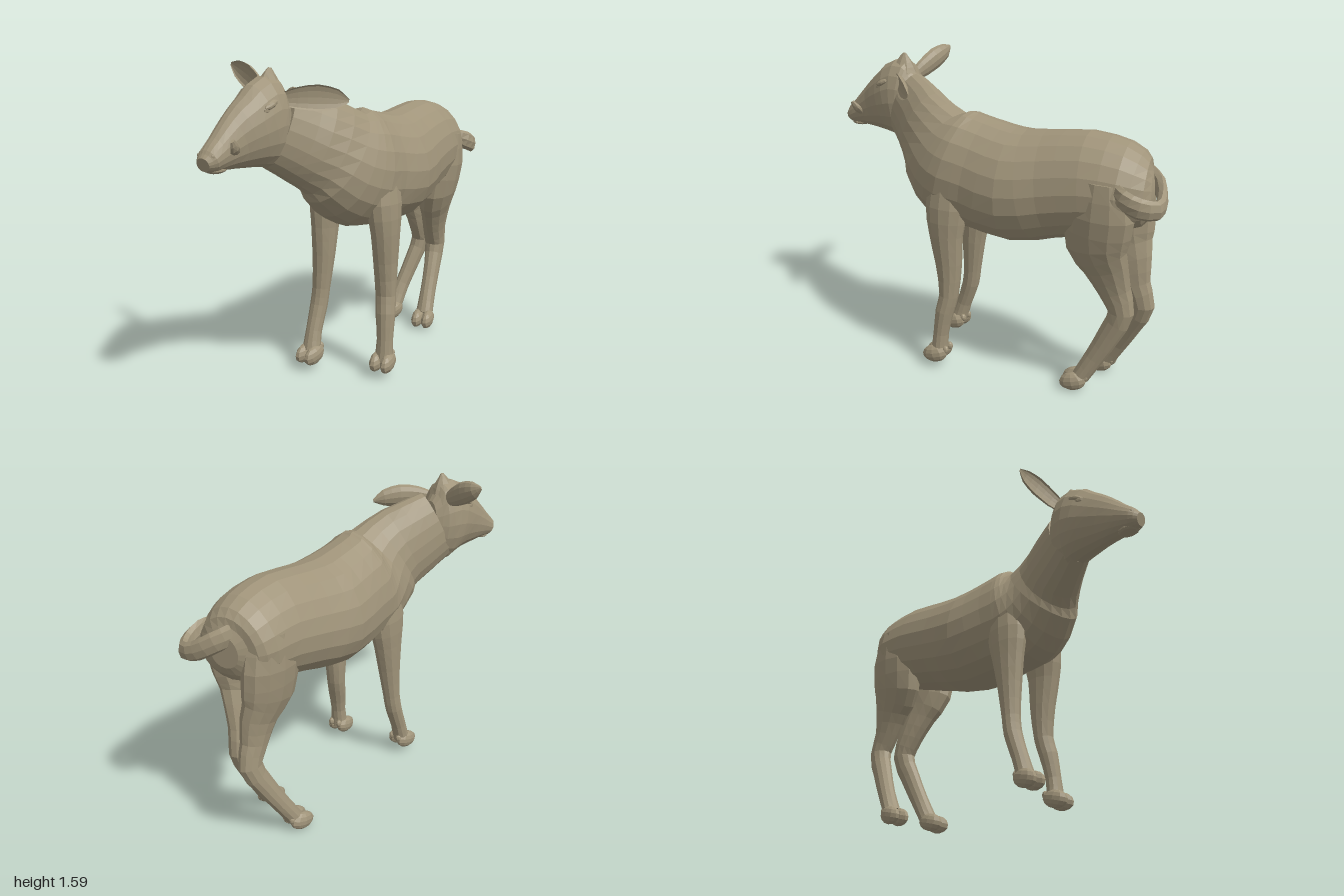
import * as THREE from 'three';

const Y = new THREE.Vector3(0, 1, 0);
const Z = new THREE.Vector3(0, 0, 1);
const hide = new THREE.MeshStandardMaterial({ color: 0xa0947a, flatShading: true, side: THREE.DoubleSide });

// Skin through sections [x, y, z, halfWidth, halfHeight]; ref sets which way the height points.
// egg narrows the upper side, cup hollows one side of the ring (+1 or -1).
function loft(sections, { ref = Y, sides = 16, sub = 2, egg = 0, cup = 0 } = {}) {
  const path = new THREE.CatmullRomCurve3(sections.map(s => new THREE.Vector3(s[0], s[1], s[2])));
  const size = new THREE.CatmullRomCurve3(sections.map(s => new THREE.Vector3(s[3], s[4], 0)));
  const rings = (sections.length - 1) * sub;
  const pos = [], index = [];
  for (let i = 0; i <= rings; i++) {
    const u = i / rings;
    const c = path.getPoint(u), r = size.getPoint(u), t = path.getTangent(u);
    const side = new THREE.Vector3().crossVectors(ref, t).normalize();
    const up = new THREE.Vector3().crossVectors(t, side);
    for (let j = 0; j < sides; j++) {
      const a = (j / sides) * Math.PI * 2;
      let w = Math.cos(a) * (1 - egg * Math.sin(a));
      const h = Math.sin(a);
      if (w * cup > 0) w *= -0.4;
      const p = c.clone().addScaledVector(side, w * r.x).addScaledVector(up, h * r.y);
      pos.push(p.x, p.y, p.z);
      if (i < rings) {
        const k = (j + 1) % sides, a0 = i * sides + j, b0 = i * sides + k;
        index.push(a0, b0, a0 + sides, b0, b0 + sides, a0 + sides);
      }
    }
  }
  // end caps
  const first = sections[0], last = sections[sections.length - 1];
  const n = pos.length / 3;
  pos.push(first[0], first[1], first[2], last[0], last[1], last[2]);
  for (let j = 0; j < sides; j++) {
    const k = (j + 1) % sides, e = rings * sides;
    index.push(n, k, j, n + 1, e + j, e + k);
  }
  const g = new THREE.BufferGeometry();
  g.setAttribute('position', new THREE.Float32BufferAttribute(pos, 3));
  g.setIndex(index);
  g.computeVertexNormals();
  return g;
}

export function createModel() {
  const model = new THREE.Group();
  const add = (name, geometry, parent = model) => {
    const mesh = new THREE.Mesh(geometry, hide);
    mesh.name = name;
    parent.add(mesh);
    return mesh;
  };
  const blob = (name, p, s, parent = model, rot = [0, 0, 0]) => {
    const mesh = add(name, new THREE.SphereGeometry(1, 10, 7), parent);
    mesh.position.set(...p);
    mesh.scale.set(...s);
    mesh.rotation.set(...rot);
    return mesh;
  };

  // trunk, running from the rump through the chest into the turned neck
  add('bodyAndNeck', loft([
    [0.06, 1.08, -0.895, 0.07, 0.08],
    [0.07, 1.08, -0.86, 0.16, 0.16],
    [0.08, 1.09, -0.76, 0.21, 0.22],
    [0.09, 1.09, -0.6, 0.225, 0.252],
    [0.093, 1.055, -0.4, 0.24, 0.265],
    [0.1, 1.025, -0.2, 0.265, 0.285],
    [0.1, 1.05, 0, 0.24, 0.29],
    [0.105, 1.07, 0.12, 0.235, 0.3],
    [0.095, 1.105, 0.21, 0.205, 0.285],
    [0.065, 1.18, 0.31, 0.16, 0.24],
    [0.0, 1.25, 0.43, 0.13, 0.22],
    [-0.055, 1.305, 0.54, 0.11, 0.2],
  ], { sides: 20, egg: 0.1 }));

  // head
  const head = new THREE.Group();
  head.name = 'head';
  model.add(head);
  add('skull', loft([
    [-0.06, 1.33, 0.48, 0.06, 0.12],
    [-0.07, 1.325, 0.53, 0.105, 0.2],
    [-0.08, 1.325, 0.6, 0.122, 0.222],
    [-0.09, 1.3, 0.7, 0.11, 0.175],
    [-0.105, 1.265, 0.8, 0.084, 0.13],
    [-0.115, 1.225, 0.9, 0.068, 0.08],
    [-0.12, 1.2, 0.96, 0.06, 0.056],
    [-0.12, 1.19, 0.995, 0.035, 0.032],
  ], { sides: 18 }), head);
  for (const s of [-1, 1]) {
    blob('eye', [-0.088 + s * 0.087, 1.4, 0.69], [0.016, 0.022, 0.032], head);
    blob('brow', [-0.084 + s * 0.085, 1.425, 0.67], [0.025, 0.018, 0.05], head, [0.4, 0, 0]);
    blob('nostril', [-0.12 + s * 0.035, 1.225, 0.965], [0.017, 0.016, 0.018], head);
  }
  blob('lowerLip', [-0.115, 1.16, 0.92], [0.045, 0.018, 0.055], head);
  add('lipFlap', loft([
    [-0.06, 1.22, 0.85, 0.012, 0.02],
    [-0.035, 1.25, 0.88, 0.014, 0.028],
    [-0.025, 1.29, 0.91, 0.007, 0.012],
  ], { ref: Z, sides: 8 }), head);
  add('crest', loft([
    [-0.075, 1.48, 0.58, 0.07, 0.07],
    [-0.072, 1.535, 0.58, 0.035, 0.045],
    [-0.07, 1.58, 0.575, 0.007, 0.01],
  ], { ref: Z, sides: 8 }), head);

  // ears: one pricked up to the side, one swept back
  add('rightEar', loft([
    [-0.12, 1.45, 0.56, 0.025, 0.03],
    [-0.18, 1.485, 0.535, 0.032, 0.05],
    [-0.26, 1.53, 0.51, 0.04, 0.058],
    [-0.33, 1.562, 0.49, 0.03, 0.042],
    [-0.372, 1.583, 0.48, 0.005, 0.008],
  ], { sides: 12, cup: 1 }), head);
  add('leftEar', loft([
    [0.0, 1.44, 0.58, 0.025, 0.03],
    [0.06, 1.445, 0.54, 0.032, 0.05],
    [0.13, 1.445, 0.48, 0.04, 0.06],
    [0.19, 1.435, 0.41, 0.03, 0.045],
    [0.22, 1.425, 0.36, 0.005, 0.008],
  ], { sides: 12, cup: -1 }), head);

  // legs, each from the trunk down to the pastern, with a two-toed hoof
  const leg = (name, sections, hoof, yaw) => {
    const group = new THREE.Group();
    group.name = name;
    model.add(group);
    add('limb', loft(sections, { ref: Z, sides: 12 }), group);
    const foot = new THREE.Group();
    foot.name = 'hoof';
    foot.position.set(...hoof);
    foot.rotation.y = yaw;
    group.add(foot);
    for (const s of [-1, 1]) {
      blob('toe', [s * 0.03, 0, 0.01], [0.034, 0.048, 0.072], foot, [0.25, 0, 0]);
      blob('dewclaw', [s * 0.025, 0.03, -0.05], [0.016, 0.022, 0.018], foot);
    }
  };
  leg('frontLeftLeg', [
    [0.25, 1.08, 0.1, 0.07, 0.1],
    [0.27, 0.9, 0.11, 0.08, 0.115],
    [0.28, 0.75, 0.11, 0.068, 0.092],
    [0.277, 0.6, 0.1, 0.06, 0.072],
    [0.28, 0.42, 0.1, 0.053, 0.05],
    [0.29, 0.33, 0.12, 0.052, 0.048],
    [0.3, 0.2, 0.14, 0.042, 0.04],
    [0.3, 0.09, 0.15, 0.05, 0.045],
  ], [0.3, 0.086, 0.155], 0.1);
  leg('frontRightLeg', [
    [-0.04, 1.08, 0.12, 0.07, 0.1],
    [-0.055, 0.9, 0.13, 0.075, 0.115],
    [-0.06, 0.75, 0.14, 0.065, 0.09],
    [-0.062, 0.6, 0.15, 0.057, 0.066],
    [-0.07, 0.42, 0.165, 0.046, 0.048],
    [-0.075, 0.33, 0.18, 0.046, 0.046],
    [-0.078, 0.2, 0.225, 0.042, 0.042],
    [-0.075, 0.1, 0.255, 0.05, 0.045],
  ], [-0.073, 0.086, 0.262], -0.1);
  leg('hindLeftLeg', [
    [0.21, 1.15, -0.69, 0.09, 0.13],
    [0.21, 0.98, -0.68, 0.1, 0.175],
    [0.19, 0.82, -0.67, 0.09, 0.16],
    [0.16, 0.7, -0.71, 0.07, 0.12],
    [0.135, 0.58, -0.75, 0.06, 0.085],
    [0.125, 0.47, -0.785, 0.055, 0.065],
    [0.135, 0.34, -0.735, 0.045, 0.058],
    [0.145, 0.2, -0.665, 0.043, 0.05],
    [0.155, 0.08, -0.6, 0.05, 0.045],
  ], [0.16, 0.06, -0.578], 0.15);
  leg('hindRightLeg', [
    [-0.03, 1.15, -0.7, 0.09, 0.13],
    [-0.035, 0.98, -0.71, 0.095, 0.165],
    [-0.02, 0.82, -0.72, 0.085, 0.16],
    [0.0, 0.7, -0.77, 0.065, 0.115],
    [0.005, 0.58, -0.805, 0.055, 0.08],
    [0.0, 0.47, -0.845, 0.05, 0.065],
    [-0.025, 0.34, -0.79, 0.045, 0.055],
    [-0.055, 0.2, -0.715, 0.042, 0.048],
    [-0.075, 0.08, -0.645, 0.05, 0.045],
  ], [-0.08, 0.06, -0.63], -0.1);

  // tail curling round to the left side
  add('tail', loft([
    [0.04, 1.16, -0.85, 0.03, 0.055],
    [0.09, 1.13, -0.92, 0.028, 0.052],
    [0.17, 1.08, -0.965, 0.026, 0.048],
    [0.245, 1.06, -0.97, 0.026, 0.046],
    [0.29, 1.07, -0.9, 0.026, 0.05],
    [0.285, 1.1, -0.82, 0.028, 0.05],
    [0.24, 1.13, -0.77, 0.02, 0.035],
  ], { sides: 8 }));

  return model;
}
